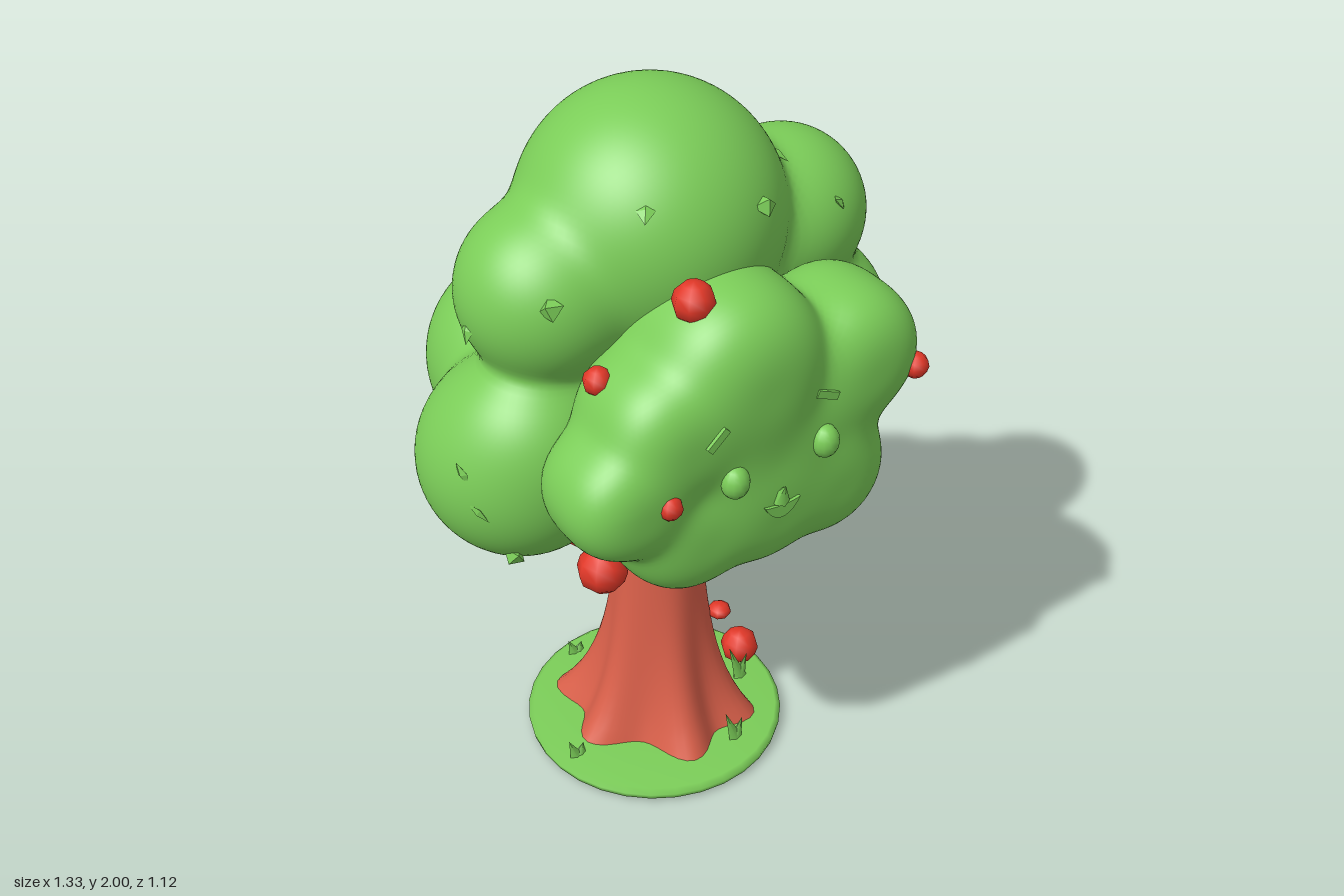
import * as THREE from 'three';
import { mergeVertices } from 'three/addons/utils/BufferGeometryUtils.js';

const V = (x, y, z) => new THREE.Vector3(x, y, z);
const paint = (name, color) => {
  const m = new THREE.MeshStandardMaterial({ color });
  m.name = name;
  return m;
};

// Foliage puffs: x, y, z, radius; the power sets how flat their fronts are
const crown = {
  power: 2,
  puffs: [
    [-0.04, 1.67, 0.01, 0.33], [0, 1.35, -0.03, 0.34],
    [-0.21, 1.165, -0.285, 0.28], [0.2, 1.165, -0.285, 0.28],
    [-0.03, 1.5, -0.245, 0.245],
    [0.4, 1.105, 0, 0.255], [-0.41, 1.105, 0, 0.26], [0.42, 1.25, 0.03, 0.21], [-0.4, 1.2, 0.05, 0.21],
    [0.35, 1.56, 0, 0.215], [-0.33, 1.56, 0.02, 0.22],
  ],
};
const front = {
  power: 2.7,
  puffs: [
    [-0.04, 1.445, 0.31, 0.225], [0.28, 1.38, 0.34, 0.18], [-0.23, 1.34, 0.34, 0.175],
    [-0.36, 1.2, 0.36, 0.155], [0.2, 1.07, 0.33, 0.185], [0.01, 1.06, 0.33, 0.185],
    [-0.18, 1.05, 0.33, 0.18], [0, 1.23, 0.28, 0.24], [0.18, 1.23, 0.33, 0.17],
  ],
};

// Smoothly blended distance to a set of puffs
function distance({ power, puffs }, p) {
  const k = 0.022;
  let sum = 0;
  for (const [x, y, z, r] of puffs) {
    const side = Math.hypot(p.x - x, p.y - y), depth = Math.abs(p.z - z);
    sum += Math.exp(-((side ** power + depth ** power) ** (1 / power) - r) / k);
  }
  return -k * Math.log(sum);
}

// First point of the blended surface along a ray
function cast(shape, from, dir) {
  const p = from.clone();
  for (let i = 0; i < 45; i++) p.addScaledVector(dir, distance(shape, p) * 0.85);
  return p;
}

// A sphere shrink-wrapped onto the blended puffs
function foliage(shape, centre, detail) {
  let g = new THREE.IcosahedronGeometry(1, detail);
  g.deleteAttribute('uv');
  g.deleteAttribute('normal');
  g = mergeVertices(g, 1e-4);
  const pos = g.attributes.position, d = V(0, 0, 0);
  for (let i = 0; i < pos.count; i++) {
    d.fromBufferAttribute(pos, i).normalize();
    const p = cast(shape, centre.clone().add(d), d.clone().negate());
    pos.setXYZ(i, p.x, p.y, p.z);
  }
  g.computeVertexNormals();
  return g;
}

// Normals turned inwards, for leaves that show their underside
function turned(g) {
  const n = g.attributes.normal;
  for (let i = 0; i < n.count; i++) n.setXYZ(i, -n.getX(i), -n.getY(i), -n.getZ(i));
  return g;
}

// Trunk with separate roots flaring out towards the ground
function trunkGeometry() {
  const g = new THREE.CylinderGeometry(1, 1, 1.17, 72, 24, true);
  const roots = [[45, 0.29], [100, 0.28], [172, 0.28], [225, 0.32], [282, 0.31], [345, 0.25]];
  const pos = g.attributes.position;
  for (let i = 0; i < pos.count; i++) {
    const y = pos.getY(i) + 0.615;
    const a = Math.atan2(pos.getZ(i), pos.getX(i));
    let r = 0.09 + 0.055 * Math.max(0, 1 - y / 1.1) + 0.045 * Math.exp(-y / 0.16);
    for (const [deg, len] of roots) {
      const da = Math.cos(a - deg * Math.PI / 180);
      r += (len - 0.165) * Math.exp((da - 1) * 15) * Math.exp(-y / 0.18);
    }
    pos.setXYZ(i, Math.cos(a) * r + 0.005, y, Math.sin(a) * r - 0.02);
  }
  // keep the seam of the cylinder smooth
  g.deleteAttribute('uv');
  g.deleteAttribute('normal');
  const m = mergeVertices(g, 1e-4);
  m.computeVertexNormals();
  return m;
}

export function createModel() {
  const tree = new THREE.Group();
  const green = paint('leafGreen', 0x7bcd58);
  const bark = paint('bark', 0xda604a);
  const red = paint('appleRed', 0xe23828);
  const add = (name, geometry, material, at = V(0, 0, 0)) => {
    const m = new THREE.Mesh(geometry, material);
    m.name = name;
    m.position.copy(at);
    tree.add(m);
    return m;
  };
  const tube = (name, pts, r, material) =>
    add(name, new THREE.TubeGeometry(new THREE.CatmullRomCurve3(pts), 16, r, 10), material);

  // Ground disc with a soft rim
  const rim = [[0, 0], [0.34, 0], [0.362, 0.01], [0.365, 0.025], [0.35, 0.036], [0.2, 0.04], [0, 0.04]];
  add('ground', new THREE.LatheGeometry(rim.map(([x, y]) => new THREE.Vector2(x, y)), 32), green, V(-0.01, 0, -0.02));

  // Trunk and branches
  add('trunk', trunkGeometry(), bark);
  tube('leftBranch', [V(0.05, 0.62, -0.01), V(0.14, 0.67, -0.015), V(0.25, 0.75, -0.02), V(0.3, 0.86, -0.02), V(0.33, 1, -0.02)], 0.04, bark);
  tube('rightBranch', [V(-0.05, 0.72, 0), V(-0.13, 0.77, 0), V(-0.25, 0.85, 0.02), V(-0.33, 0.93, 0.03), V(-0.38, 1, 0.03)], 0.037, bark);

  // Foliage
  const centre = V(0, 1.32, -0.03);
  add('crown', foliage(crown, centre, 34), green);
  add('frontFoliage', foliage(front, V(-0.02, 1.22, 0.31), 28), green);
  const onCrown = (x, y, z) => {
    const out = V(x, y, z).sub(centre).normalize();
    return cast(crown, centre.clone().add(out), out.negate());
  };
  const onFace = (x, y, lift = 0) => cast(front, V(x, y, 1), V(0, 0, -1)).add(V(0, 0, lift));

  // Face: eye bumps, nose, brows and mouth
  for (const s of [-1, 1]) {
    const eye = add('eye', new THREE.SphereGeometry(0.04, 14, 10), green, onFace(s * 0.125, s < 0 ? 1.225 : 1.25));
    eye.scale.set(0.9, 1.1, 0.9);
    const brow = add('brow', turned(new THREE.BoxGeometry(0.065, 0.02, 0.009)), green, onFace(s < 0 ? -0.185 : 0.13, 1.375, 0.006));
    brow.rotation.z = s < 0 ? 0.75 : -0.4;
  }
  const nose = add('nose', new THREE.ConeGeometry(0.024, 0.055, 6), green, onFace(0, 1.155, 0.005));
  nose.rotation.x = 0.4;
  const smile = new THREE.Shape();
  smile.moveTo(-0.05, 0.016);
  smile.quadraticCurveTo(0, 0.004, 0.05, 0.016);
  smile.quadraticCurveTo(0.03, -0.024, 0, -0.026);
  smile.quadraticCurveTo(-0.03, -0.024, -0.05, 0.016);
  add('mouth', turned(new THREE.ExtrudeGeometry(smile, { depth: 0.008, bevelEnabled: false })), green, onFace(0, 1.11, 0.001));

  // Small leaves poking out of the crown: x, y, z, turned over or not
  const leafShape = new THREE.OctahedronGeometry(0.034);
  const turnedLeafShape = turned(new THREE.OctahedronGeometry(0.034));
  const leaves = [
    [-0.2, 1.83, 0.25, 1], [0.09, 1.79, 0.3, 0], [0.27, 1.79, 0.1, 1], [0.37, 1.64, 0.18, 1],
    [-0.41, 1.62, 0.2, 0], [-0.55, 1.52, 0.03, 1], [0.57, 1.56, 0, 1], [0.46, 1.42, 0.2, 0],
    [-0.6, 1.11, 0.16, 1], [-0.5, 0.95, 0.15, 0], [-0.62, 1.2, 0.12, 1], [0.63, 1.25, 0.04, 1],
    [0.65, 1.2, 0.16, 0], [0.45, 1.05, 0.24, 0], [0.63, 1.22, -0.1, 0], [-0.14, 1.73, -0.38, 0],
  ];
  leaves.forEach(([x, y, z, over], i) => {
    const leaf = add('leaf', over ? turnedLeafShape : leafShape, green, onCrown(x, y, z));
    leaf.lookAt(leaf.position.clone().multiplyScalar(2).sub(centre));
    leaf.rotateZ(i * 1.3);
    leaf.scale.set(over ? 0.65 : 0.9, 1, over ? 0.25 : 0.8);
  });

  // Apples: x, y, z, radius
  const apples = [
    [-0.2, 0.65, 0.025, 0.07], [0.3, 0.085, -0.04, 0.056], [-0.15, 1.645, 0.37, 0.052], [-0.355, 1.46, 0.29, 0.036],
    [-0.3, 1.22, 0.51, 0.032], [0.415, 1.34, 0.485, 0.034], [-0.36, 0.955, 0.2, 0.034],
    [0.1, 0.69, 0.075, 0.03], [0.145, 0.38, 0.075, 0.033],
  ];
  for (const [x, y, z, r] of apples) {
    const apple = add('apple', new THREE.SphereGeometry(r, 8, 6), red, V(x, y, z));
    if (y < 0.7 && r < 0.04) apple.scale.y = 0.7;
  }
  const stem = add('appleStem', new THREE.CylinderGeometry(0.022, 0.022, 0.1, 8), red, V(-0.12, 0.64, 0.02));
  stem.rotation.z = Math.PI / 2;

  // Red bits showing through the back of the crown
  for (const p of [[-0.07, 1.65, -0.43], [0.24, 1.46, -0.23]])
    add('hiddenApple', new THREE.SphereGeometry(0.012, 8, 6), red, onCrown(...p));
  tube('hiddenTwig', [onCrown(-0.36, 1.45, -0.24), onCrown(-0.39, 1.42, -0.21), onCrown(-0.43, 1.38, -0.18)], 0.01, red);

  // Grass tufts of broad blades: x, height, z
  const tufts = [[-0.31, 0.07, 0.05], [0.25, 0.14, 0.03], [0.1, 0.12, 0.23], [-0.1, 0.06, -0.32]];
  for (const [x, h, z] of tufts) {
    for (const s of [-1, 1]) {
      const tall = s > 0 ? h * 0.65 : h;
      const blade = add('grassBlade', new THREE.ConeGeometry(0.022, tall, 5), green, V(x + s * 0.014, 0.03 + tall * 0.48, z));
      blade.rotation.z = -s * 0.3;
      blade.scale.z = 0.6;
    }
  }
  return tree;
}
